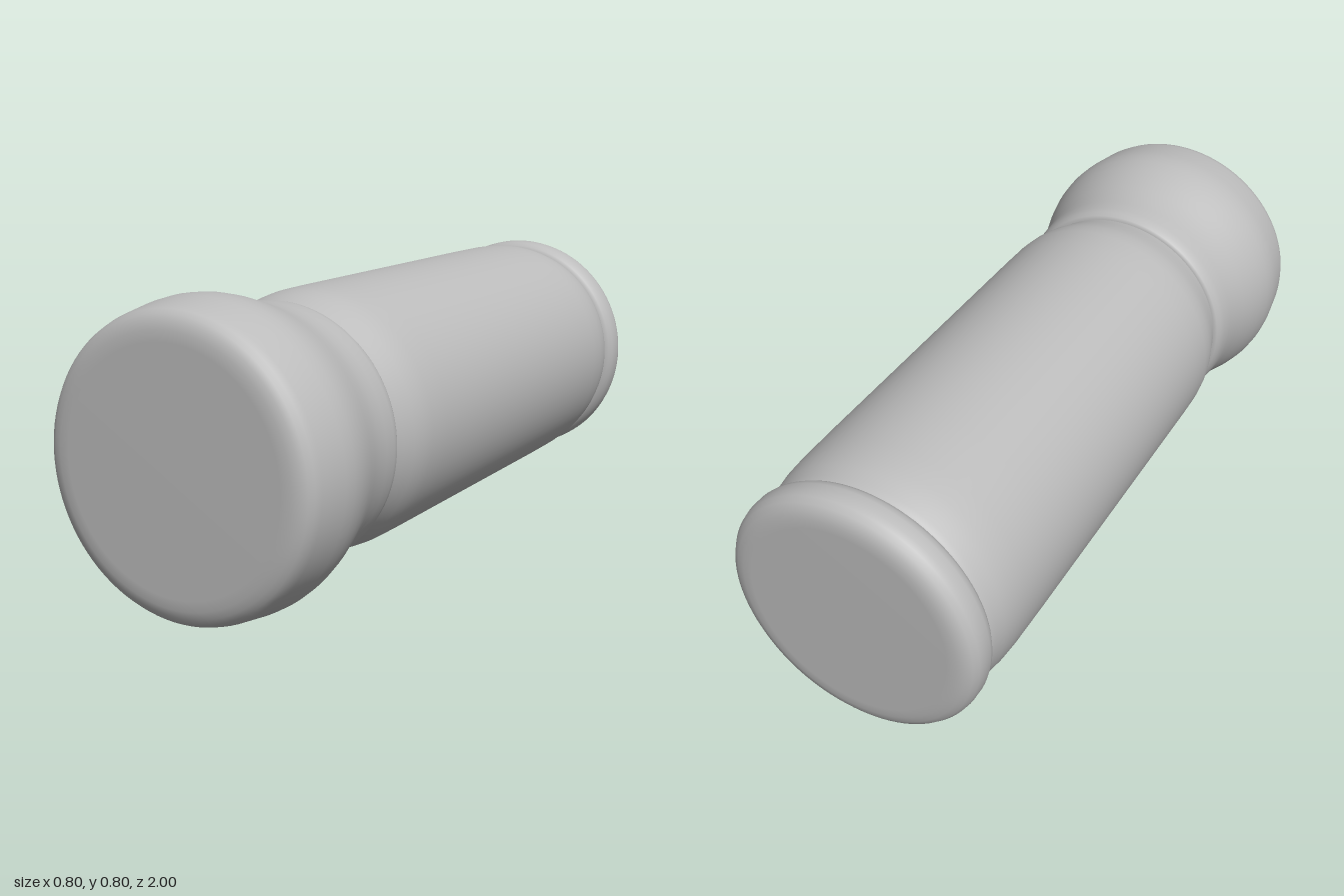
import * as THREE from 'three';

const AXIS_HEIGHT = 0.398;

// Turns a profile of [z, radius] points, ordered back to front, around the z axis.
function turned(name, profile, material) {
  const points = profile.map(([z, r]) => new THREE.Vector2(r, z));
  const geometry = new THREE.LatheGeometry(points, 96);
  geometry.rotateX(Math.PI / 2);
  const mesh = new THREE.Mesh(geometry, material);
  mesh.name = name;
  mesh.position.y = AXIS_HEIGHT;
  return mesh;
}

export function createModel() {
  const model = new THREE.Group();
  model.name = 'cylinder';
  const grey = new THREE.MeshStandardMaterial({ color: 0xbcbcbc });
  grey.name = 'plain grey';

  // Rounded cap closing the back end
  model.add(turned('backCap', [
    [-1, 0], [-1, 0.28], [-0.998, 0.305], [-0.993, 0.325], [-0.983, 0.341],
    [-0.968, 0.351], [-0.95, 0.355], [-0.925, 0.355], [-0.91, 0.351],
    [-0.898, 0.343], [-0.892, 0.335], [-0.889, 0.326],
  ], grey));

  // Long barrel, tapering slightly at both ends
  model.add(turned('barrel', [
    [-0.892, 0.328], [-0.885, 0.334], [-0.87, 0.338], [-0.84, 0.346],
    [-0.8, 0.352], [-0.74, 0.355], [-0.6, 0.356], [0.3, 0.356], [0.38, 0.355],
    [0.42, 0.351], [0.455, 0.343], [0.49, 0.331], [0.515, 0.324], [0.53, 0.32],
  ], grey));

  // Flared head with its collar and rounded front face
  model.add(turned('head', [
    [0.52, 0.31], [0.521, 0.325], [0.527, 0.333], [0.54, 0.34], [0.56, 0.344],
    [0.6, 0.346], [0.64, 0.35], [0.68, 0.36], [0.72, 0.373], [0.76, 0.386],
    [0.8, 0.395], [0.835, 0.398], [0.87, 0.396], [0.91, 0.39], [0.95, 0.384],
    [0.97, 0.378], [0.983, 0.368], [0.992, 0.353], [0.998, 0.333], [1, 0.305], [1, 0],
  ], grey));

  return model;
}
